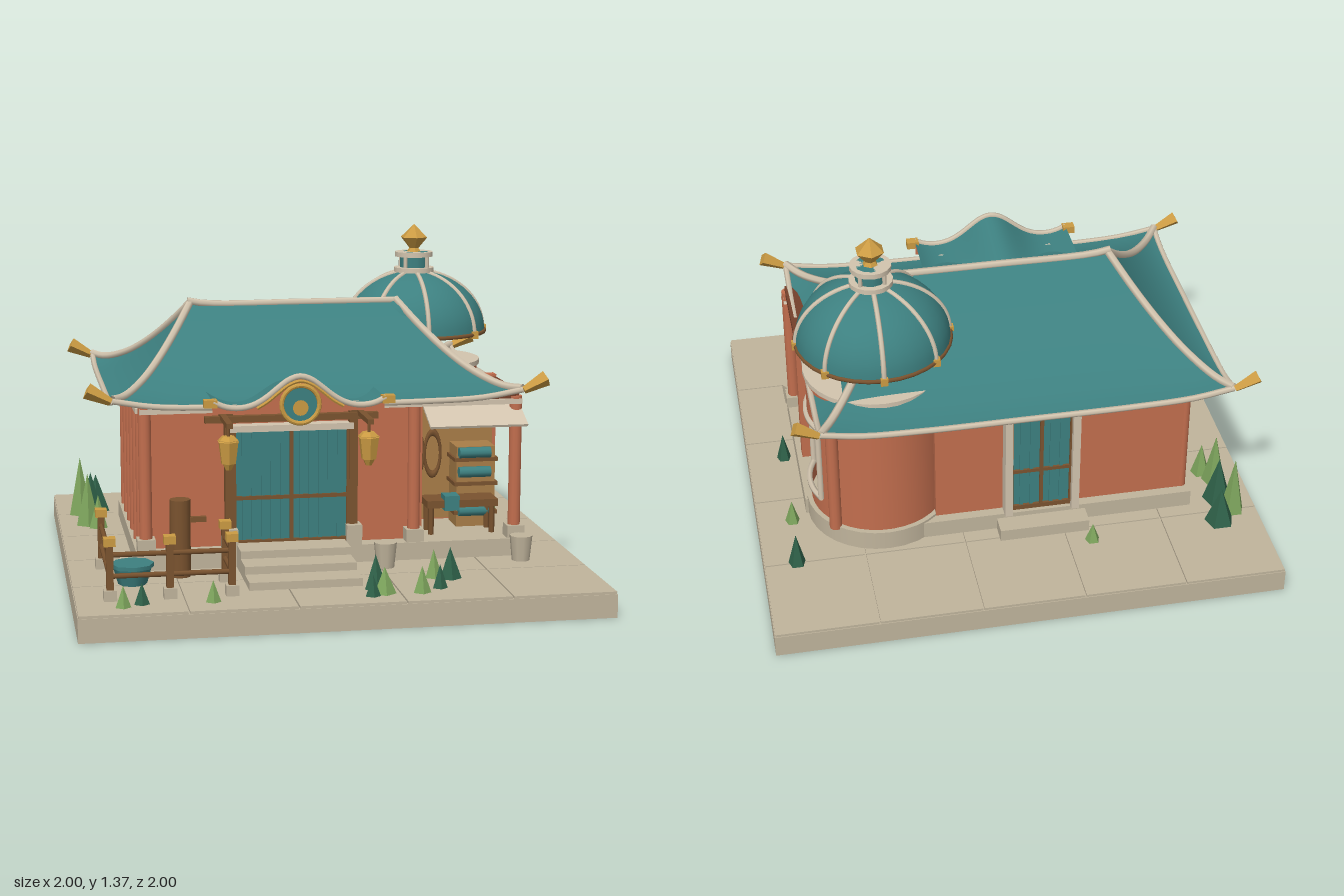
import * as THREE from 'three';

const mat = (name, color, flat = false) =>
  new THREE.MeshStandardMaterial({ name, color, flatShading: flat, side: THREE.DoubleSide });
const stone = mat('stone', 0xc0b49c), trim = mat('pale trim', 0xd2c4ae), teal = mat('teal', 0x3d8080),
  clay = mat('terracotta', 0xc26e4e), wood = mat('dark wood', 0x7a532f), tan = mat('light wood', 0xa87d48),
  gold = mat('gold', 0xcb9b43, true), leaf = mat('light leaf', 0x7da45c, true),
  pine = mat('dark leaf', 0x2f6149, true), shade = mat('brown', 0x74402b);

export function createModel() {
  const root = new THREE.Group();
  const V = (x, y, z) => new THREE.Vector3(x, y, z);
  const add = (name, geo, m, x = 0, y = 0, z = 0) => {
    const mesh = new THREE.Mesh(geo, m);
    mesh.name = name;
    mesh.position.set(x, y, z);
    root.add(mesh);
    return mesh;
  };
  // box given by its limits on each axis
  const box = (name, m, x0, x1, y0, y1, z0, z1) =>
    add(name, new THREE.BoxGeometry(x1 - x0, y1 - y0, z1 - z0), m, (x0 + x1) / 2, (y0 + y1) / 2, (z0 + z1) / 2);
  const cyl = (name, m, x, z, y0, y1, r0, r1 = r0, n = 12) =>
    add(name, new THREE.CylinderGeometry(r1, r0, y1 - y0, n), m, x, (y0 + y1) / 2, z);
  const tube = (name, m, pts, r, n = 16) =>
    add(name, new THREE.TubeGeometry(new THREE.CatmullRomCurve3(pts), n, r, 6), m);
  // curved sheet from a function of two parameters
  const sheet = (name, m, f, nu, nv) => {
    const pos = [], idx = [];
    for (let i = 0; i <= nu; i++) for (let j = 0; j <= nv; j++) pos.push(...f(i / nu, j / nv).toArray());
    for (let i = 0; i < nu; i++) for (let j = 0; j < nv; j++) {
      const a = i * (nv + 1) + j, b = a + nv + 1;
      idx.push(a, a + 1, b, b, a + 1, b + 1);
    }
    const g = new THREE.BufferGeometry();
    g.setAttribute('position', new THREE.Float32BufferAttribute(pos, 3));
    g.setIndex(idx);
    g.computeVertexNormals();
    return add(name, g, m);
  };

  // paved base
  box('base', stone, -1, 1, 0, 0.09, -1, 1);
  for (let i = 0; i < 5; i++) for (let j = 0; j < 5; j++) {
    const x = -1 + i * 0.4, z = -1 + j * 0.4;
    box('paving', stone, x + 0.003, x + 0.397, 0.09, 0.1, z + 0.003, z + 0.397);
  }
  box('plinth', stone, -0.74, 0.8, 0.1, 0.17, -0.3, 0.41);
  box('plinthBack', stone, -0.74, 0.5, 0.1, 0.17, -0.54, -0.3);
  cyl('towerPlinth', stone, 0.5, -0.29, 0.1, 0.18, 0.29, 0.29, 32);
  [0.76, 0.64, 0.52].forEach((z, i) => box('step', stone, -0.35, 0.08, 0.1, 0.13 + i * 0.03, 0.36, z));

  // walls
  box('hall', clay, -0.71, 0.3, 0.17, 0.77, -0.5, 0.34);
  box('sideWall', clay, 0.3, 0.4, 0.17, 0.77, 0, 0.34);
  box('shopBackWall', clay, 0.4, 0.78, 0.17, 0.77, -0.02, 0.03);
  box('shopCeiling', shade, 0.4, 0.78, 0.73, 0.76, 0, 0.38);
  for (const x of [-0.7, 0.36, 0.77]) {
    cyl('frontColumn', clay, x, 0.37, 0.17, 0.74, 0.025);
    box('columnFoot', stone, x - 0.035, x + 0.035, 0.17, 0.22, 0.335, 0.405);
  }
  for (let i = 0; i < 6; i++) cyl('sideColumn', clay, -0.71, -0.48 + i * 0.16, 0.17, 0.75, 0.022);
  box('frieze', trim, -0.72, 0.79, 0.71, 0.73, 0.355, 0.395);
  box('leftFrieze', trim, -0.735, -0.71, 0.71, 0.73, -0.51, 0.37);

  // round tower with a window open to the right side
  const R = 0.27, gap = 0.48, cx = 0.5, cz = -0.29;
  const arc = (name, m, r, y0, y1, start, len) => add(name,
    new THREE.CylinderGeometry(r, r, y1 - y0, 32, 1, true, start, len), m, cx, (y0 + y1) / 2, cz);
  arc('towerWall', clay, R, 0.17, 0.8, Math.PI / 2 + gap, Math.PI * 2 - 2 * gap);
  arc('windowSill', clay, R, 0.17, 0.26, Math.PI / 2 - gap, 2 * gap);
  arc('windowHead', clay, R, 0.6, 0.8, Math.PI / 2 - gap, 2 * gap);
  for (const y of [0.26, 0.6]) tube('windowFrame', trim, [-1, -0.5, 0, 0.5, 1].map(k =>
    V(cx + 0.275 * Math.cos(k * gap), y, cz + 0.275 * Math.sin(k * gap))), 0.012);
  for (const s of [-1, 1]) {
    cyl('windowJamb', trim, cx + 0.245, cz + s * 0.125, 0.26, 0.6, 0.012);
    cyl('towerColumn', clay, cx + 0.2, cz + s * 0.2, 0.17, 0.76, 0.025);
  }
  box('towerInside', shade, 0.3, 0.31, 0.18, 0.75, -0.45, -0.06);
  cyl('perchPost', gold, 0.62, cz, 0.18, 0.42, 0.015);
  box('perchBar', gold, 0.6, 0.64, 0.41, 0.44, cz - 0.07, cz + 0.07);
  cyl('towerDeck', trim, cx, cz, 0.78, 0.8, 0.28, 0.28, 32);

  // curved hip roof
  const ridge = [-0.47, 0.38], ex = [-0.83, 0.76], ez = [-0.7, 0.5];
  const roofY = (t, u) => 0.75 + 0.32 * Math.pow(1 - t, 1.6) + 0.035 * t ** 4 * Math.abs(2 * u - 1) ** 6;
  const corner = (sx, sz, t) => V(ridge[sx] + (ex[sx] - ridge[sx]) * t, 0, -0.1 + (ez[sz] + 0.1) * t);
  const slope = (a, b) => (u, t) => {
    const p = corner(...a, t).lerp(corner(...b, t), u);
    p.y = roofY(t, u);
    return p;
  };
  const steps = [0, 0.2, 0.4, 0.6, 0.8, 0.9, 1];
  const eaves = [[[0, 1], [1, 1]], [[1, 1], [1, 0]], [[1, 0], [0, 0]], [[0, 0], [0, 1]]];
  for (const [a, b] of eaves) {
    const f = slope(a, b);
    sheet('roofSlope', teal, f, 20, 14);
    tube('eaveTrim', trim, [0, 0.1, 0.25, 0.5, 0.75, 0.9, 1].map(u => f(u, 1)), 0.012, 30);
    tube('hipTrim', trim, steps.map(t => f(0, t).add(V(0, 0.006, 0))), 0.016, 24);
    // gold horn at each corner
    const s = a[0] ? 1 : -1, e = f(0, 1);
    const horn = add('cornerHorn', new THREE.CylinderGeometry(0.032, 0.015, 0.1, 4), gold,
      e.x + s * 0.05, e.y + 0.02, e.z);
    horn.rotation.z = -s * 1.1;
  }
  tube('ridgeTrim', trim, [V(-0.48, 1.085, -0.1), V(-0.4, 1.072, -0.1), V(0, 1.07, -0.1), V(0.39, 1.07, -0.1)], 0.015);

  // dome with ribs, lantern and finial
  const prof = [];
  for (let i = 0; i <= 12; i++) {
    const a = i / 12 * Math.PI / 2;
    prof.push(new THREE.Vector2(0.3 * Math.cos(a), 0.92 + 0.25 * Math.sin(a)));
  }
  add('dome', new THREE.LatheGeometry(prof, 32), teal, cx, 0, cz);
  const rim = add('domeRim', new THREE.TorusGeometry(0.3, 0.009, 6, 32), wood, cx, 0.92, cz);
  rim.rotation.x = Math.PI / 2;
  for (let k = 0; k < 8; k++) {
    const a = k * Math.PI / 4, c = Math.cos(a), s = Math.sin(a);
    tube('domeRib', trim, prof.slice(0, 12).map(p => V(cx + c * p.x, p.y, cz + s * p.x)), 0.01);
    box('ribFoot', gold, cx + c * 0.3 - 0.014, cx + c * 0.3 + 0.014, 0.905, 0.935, cz + s * 0.3 - 0.014, cz + s * 0.3 + 0.014);
    if (k % 2) cyl('lanternPost', trim, cx + c * 0.065, cz + s * 0.065, 1.18, 1.24, 0.009, 0.009, 6);
  }
  cyl('domeLantern', teal, cx, cz, 1.15, 1.25, 0.06);
  cyl('lanternBase', trim, cx, cz, 1.165, 1.185, 0.085, 0.085, 16);
  cyl('lanternTop', trim, cx, cz, 1.23, 1.25, 0.08, 0.08, 16);
  add('finial', new THREE.LatheGeometry([[0, 1.25], [0.03, 1.25], [0.02, 1.265], [0.058, 1.31], [0, 1.365]]
    .map(p => new THREE.Vector2(...p)), 6), gold, cx, 0, cz);

  // curved entrance canopy
  const canopyY = d => 0.752 + 0.125 * Math.exp(-((d / 0.13) ** 2)) + 0.035 * (d / 0.33) ** 6;
  const canopy = (u, v) => {
    const d = (u - 0.5) * 0.66;
    return V(-0.13 + d, canopyY(Math.abs(d)) - v * 0.06 * Math.exp(-((d / 0.15) ** 2)), 0.59 - v * 0.3);
  };
  sheet('canopyRoof', teal, canopy, 30, 6);
  tube('canopyTrim', trim, Array.from({ length: 17 }, (_, i) => canopy(i / 16, 0)), 0.012, 40);
  tube('canopyGoldEdge', gold, Array.from({ length: 9 }, (_, i) => canopy(0.25 + i / 16, 0).add(V(0, -0.018, 0.008))), 0.007, 30);
  const gable = new THREE.Shape([[-0.33, 0.735], [0.33, 0.735]].map(p => new THREE.Vector2(...p)));
  for (let i = 10; i >= -10; i--) gable.lineTo(i * 0.033, canopyY(Math.abs(i * 0.033)) - 0.008);
  add('canopyGable', new THREE.ShapeGeometry(gable), clay, -0.13, 0, 0.56);
  add('medallion', new THREE.CylinderGeometry(0.07, 0.07, 0.015, 24), teal, -0.13, 0.77, 0.59).rotation.x = Math.PI / 2;
  add('medallionRing', new THREE.TorusGeometry(0.072, 0.009, 8, 28), gold, -0.13, 0.77, 0.597);
  add('medallionBoss', new THREE.CircleGeometry(0.03, 16), gold, -0.13, 0.757, 0.601);
  for (const s of [-1, 1]) {
    const x = -0.13 + s * 0.27;
    box('canopyEnd', gold, -0.13 + s * 0.34 - 0.025, -0.13 + s * 0.34 + 0.025, 0.765, 0.795, 0.56, 0.6);
    box('canopyBracket', wood, x - 0.012, x + 0.012, 0.685, 0.705, 0.34, 0.6);
    // hanging lanterns
    cyl('lanternCord', wood, x, 0.56, 0.65, 0.69, 0.006);
    cyl('lanternCap', gold, x, 0.56, 0.63, 0.65, 0.045, 0.025, 6);
    cyl('lanternBody', gold, x, 0.56, 0.545, 0.635, 0.03, 0.042, 6);
    cyl('lanternDrop', gold, x, 0.56, 0.52, 0.545, 0.012, 0.025, 6);
    // door posts
    const px = -0.13 + s * 0.245;
    box('doorPost', wood, px - 0.016, px + 0.016, 0.17, 0.72, 0.35, 0.39);
    box('postFoot', stone, px - 0.03, px + 0.03, 0.17, 0.25, 0.345, 0.415);
  }
  box('crossBeam', wood, -0.47, 0.21, 0.67, 0.695, 0.37, 0.4);

  // front and back doors
  const door = (x, w, z, s, n) => {
    const span = (name, m, x0, x1, y0, y1, d) => box(name, m, x0, x1, y0, y1, z - d, z + d);
    span('doorPanel', teal, x - w, x + w, 0.18, 0.64, 0.015);
    for (let i = 0; i <= n; i++) {
      const sx = x - w + 2 * w * i / n;
      const main = i === 0 || i === n || i * 2 === n;
      span('doorSlat', main ? wood : teal, sx - 0.007, sx + 0.007, 0.18, 0.64, main ? 0.025 : 0.022);
    }
    span('doorHead', trim, x - w - 0.02, x + w + 0.02, 0.63, 0.655, 0.035);
    span('doorRail', wood, x - w, x + w, 0.36, 0.375, 0.024);
    span('doorFoot', wood, x - w, x + w, 0.18, 0.2, 0.026);
  };
  door(-0.13, 0.225, 0.36, 1, 12);
  door(-0.12, 0.12, -0.51, -1, 6);
  for (const s of [-1, 1]) box('backDoorJamb', trim, -0.12 + s * 0.135 - 0.015, -0.12 + s * 0.135 + 0.015, 0.17, 0.65, -0.56, -0.5);
  box('backStep', stone, -0.3, 0.06, 0.1, 0.15, -0.62, -0.5);

  // open shop with awning
  const awning = box('awning', trim, 0.4, 0.79, 0.67, 0.68, 0.32, 0.49);
  awning.rotation.x = 0.42;
  box('shopPanel', tan, 0.41, 0.76, 0.18, 0.64, 0.035, 0.055);
  box('cabinet', tan, 0.58, 0.74, 0.17, 0.5, 0.055, 0.18);
  for (const y of [0.22, 0.34, 0.44]) box('cabinetShelf', wood, 0.57, 0.75, y, y + 0.015, 0.05, 0.19);
  box('counter', wood, 0.43, 0.72, 0.28, 0.31, 0.19, 0.31);
  for (const x of [0.45, 0.7]) for (const z of [0.21, 0.29]) cyl('counterLeg', wood, x, z, 0.17, 0.28, 0.012, 0.012, 6);
  for (const x of [0.43, 0.5]) add('hoop', new THREE.TorusGeometry(0.055, 0.01, 6, 20), wood, x, 0.46, 0.09).scale.set(0.6, 1.6, 1);
  for (const y of [0.24, 0.4, 0.48]) add('clothRoll', new THREE.CylinderGeometry(0.022, 0.022, 0.13, 10), teal, 0.65, y, 0.2).rotation.z = Math.PI / 2;
  box('foldedCloth', teal, 0.5, 0.56, 0.27, 0.33, 0.25, 0.32);

  // corner fence
  const posts = [[-0.87, 0.33], [-0.87, 0.8], [-0.65, 0.8], [-0.42, 0.8], [-0.42, 0.6]];
  posts.forEach(([x, z], i) => {
    box('fencePost', wood, x - 0.013, x + 0.013, 0.1, 0.31, z - 0.013, z + 0.013);
    box('fenceFoot', stone, x - 0.024, x + 0.024, 0.1, 0.14, z - 0.024, z + 0.024);
    box('fenceCap', gold, x - 0.022, x + 0.022, 0.305, 0.335, z - 0.022, z + 0.022);
    const q = posts[i + 1];
    if (q) for (const y of [0.19, 0.27]) tube('fenceRail', wood, [V(x, y, z), V(q[0], y, q[1])], 0.01, 1);
  });

  // training post, pots and buckets
  cyl('trainingPost', wood, -0.58, 0.5, 0.1, 0.4, 0.04);
  box('trainingArm', wood, -0.6, -0.48, 0.31, 0.33, 0.49, 0.51);
  cyl('tealPot', teal, -0.77, 0.58, 0.1, 0.17, 0.055, 0.075, 8);
  cyl('tealPotRim', teal, -0.77, 0.58, 0.165, 0.18, 0.082, 0.082, 8);
  for (const [x, z] of [[0.22, 0.5], [0.77, 0.48]]) cyl('bucket', stone, x, z, 0.1, 0.2, 0.035, 0.045, 10);

  // shrubs and tufts: x, z, radius, height
  [[-0.9, -0.6, 0.05, 0.25], [-0.86, -0.52, 0.06, 0.2], [-0.88, -0.4, 0.05, 0.22], [-0.83, -0.66, 0.06, 0.16],
    [-0.84, -0.34, 0.04, 0.14], [0.12, 0.8, 0.045, 0.13], [0.14, 0.87, 0.045, 0.1], [0.09, 0.9, 0.03, 0.08],
    [0.28, 0.88, 0.035, 0.1], [0.36, 0.83, 0.03, 0.09], [0.37, 0.68, 0.035, 0.11], [0.43, 0.7, 0.045, 0.12],
    [-0.83, 0.9, 0.03, 0.08], [-0.76, 0.87, 0.03, 0.08], [-0.5, 0.88, 0.03, 0.08], [0.87, -0.6, 0.035, 0.14],
    [0.86, -0.34, 0.03, 0.1], [0.85, 0.08, 0.03, 0.12], [-0.3, -0.68, 0.03, 0.08]]
    .forEach(([x, z, r, h], i) => cyl('shrub', i % 2 ? pine : leaf, x, z, 0.1, 0.1 + h, r, 0, 5));
  return root;
}
